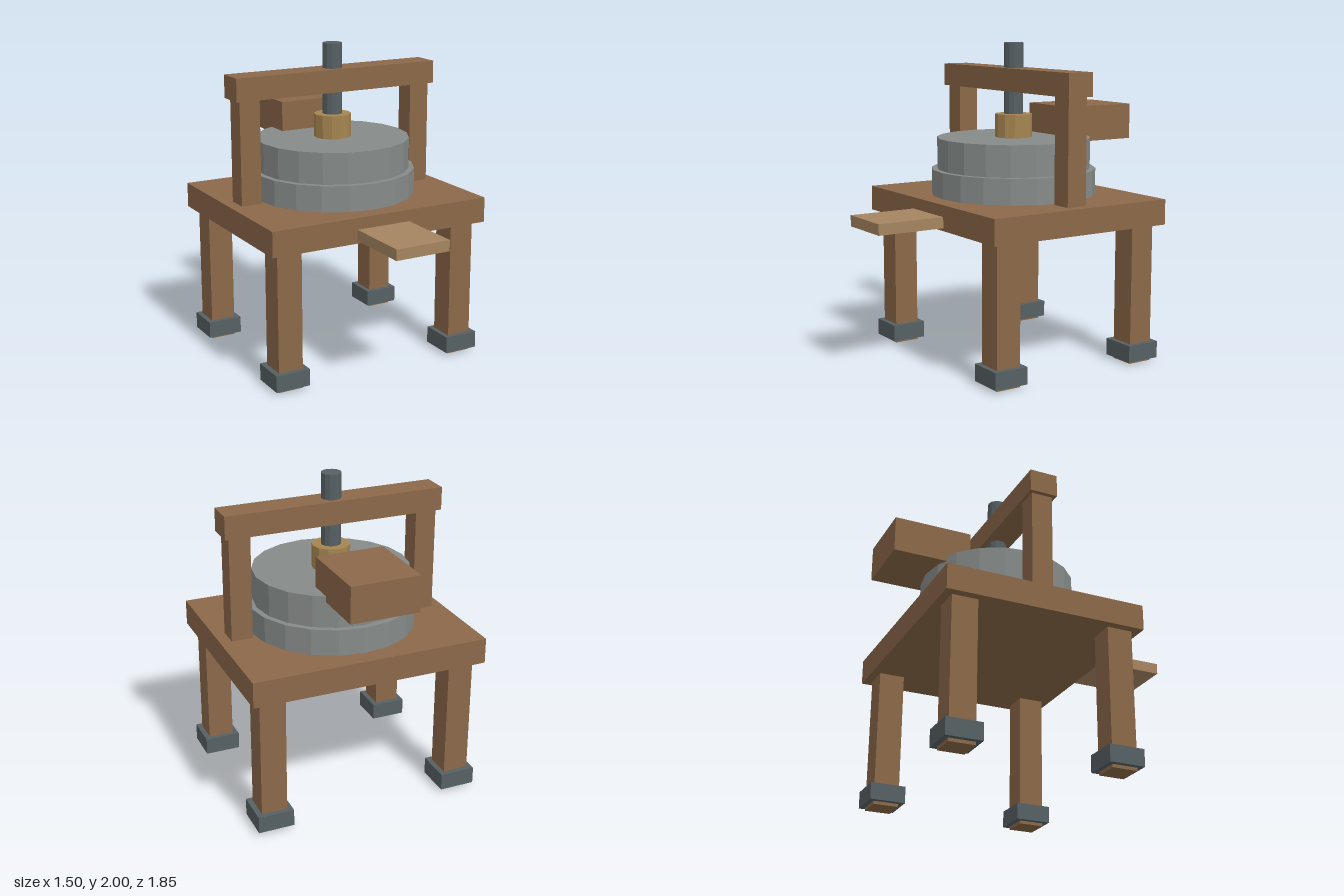
import * as THREE from 'three';

const WOOD = 0x8b6849, PALE = 0xa58560, BRASS = 0xa58550, STONE = 0x868b89, IRON = 0x566063;
const CZ = -0.149; // centre line of table, stones and press frame

const material = (color) => new THREE.MeshStandardMaterial({ color, flatShading: true });

export function createModel() {
  const model = new THREE.Group();

  // box given by its centre x/z, size and bottom/top heights
  const box = (name, color, x, z, w, d, y0, y1) => {
    const mesh = new THREE.Mesh(new THREE.BoxGeometry(w, y1 - y0, d), material(color));
    mesh.position.set(x, (y0 + y1) / 2, z);
    mesh.name = name;
    model.add(mesh);
  };

  // upright faceted cylinder on the centre line
  const drum = (name, color, r, sides, y0, y1) => {
    const mesh = new THREE.Mesh(new THREE.CylinderGeometry(r, r, y1 - y0, sides), material(color));
    mesh.position.set(0, (y0 + y1) / 2, CZ);
    mesh.name = name;
    model.add(mesh);
  };

  // table, with the chute sticking out at the front
  box('tableTop', WOOD, 0, CZ, 1.5, 1.27, 0.88, 1.04);
  box('chute', PALE, 0, 0.675, 0.366, 0.5, 0.898, 0.967);

  // legs with iron boots, and the uprights of the frame
  for (const side of [-1, 1]) {
    const sideName = side > 0 ? 'left' : 'right';
    for (const end of [-1, 1]) {
      const name = sideName + (end > 0 ? 'Front' : 'Back');
      const x = side * 0.614, z = CZ + end * 0.5;
      box(name + 'Leg', WOOD, x, z, 0.162, 0.162, 0, 0.88);
      box(name + 'Boot', IRON, x, z, 0.226, 0.226, 0.02, 0.127);
    }
    box(sideName + 'Post', WOOD, side * 0.61, CZ, 0.135, 0.135, 1.04, 1.697);
  }
  box('crossBeam', WOOD, 0, CZ, 1.41, 0.178, 1.697, 1.842);

  // millstones, collar and shaft
  drum('lowerStone', STONE, 0.526, 20, 1.04, 1.204);
  drum('upperStone', STONE, 0.49, 20, 1.204, 1.402);
  drum('collar', BRASS, 0.119, 12, 1.402, 1.55);
  drum('shaft', IRON, 0.062, 12, 1.402, 2);

  // feed box at the back
  box('feedBox', WOOD, 0, -0.676, 0.436, 0.498, 1.366, 1.593);

  return model;
}
